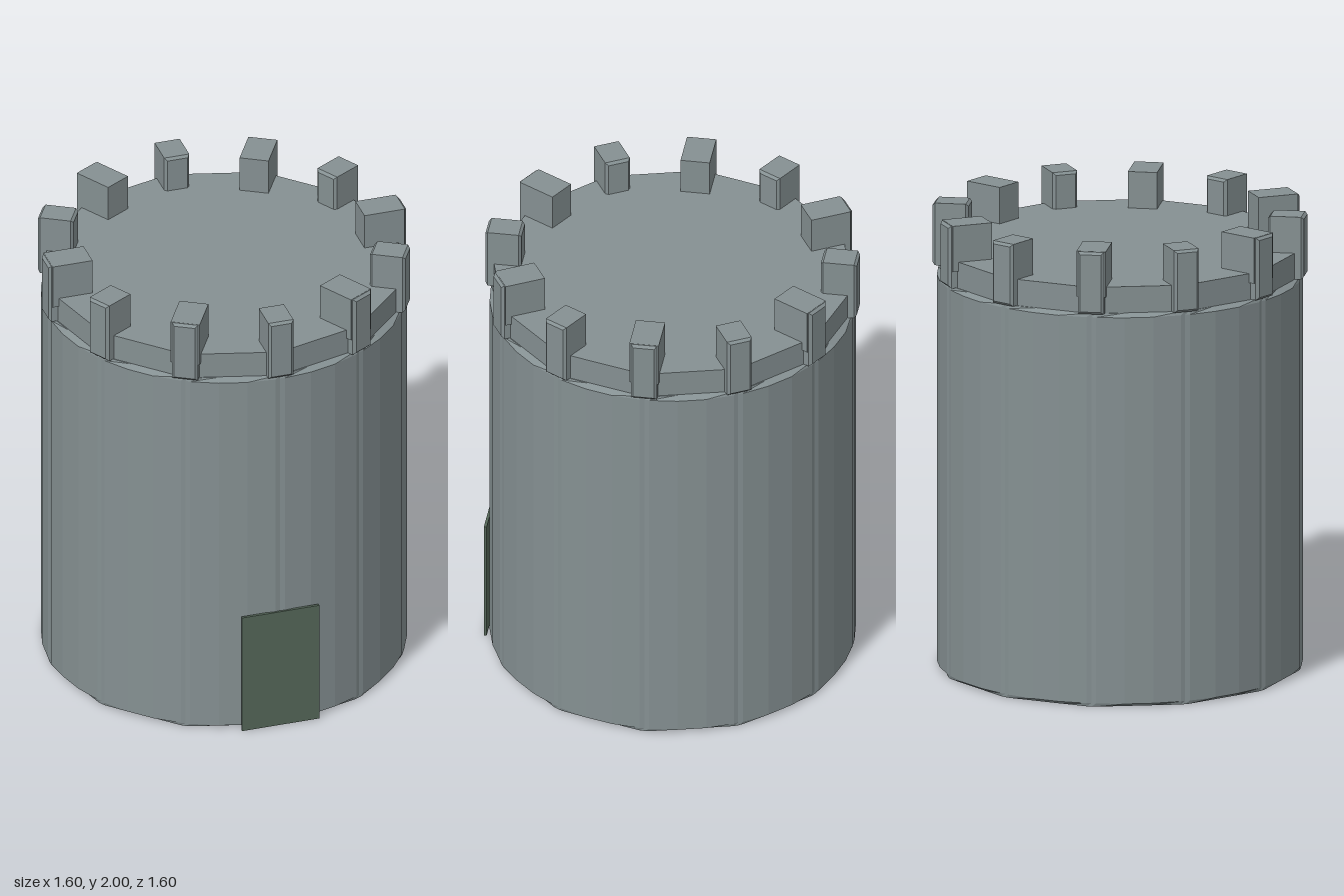
import * as THREE from 'three';

const stone = new THREE.MeshStandardMaterial({ color: 0x859092, flatShading: true });
const green = new THREE.MeshStandardMaterial({ color: 0x546658, flatShading: true });

function add(parent, name, geometry, material = stone) {
  const mesh = new THREE.Mesh(geometry, material);
  mesh.name = name;
  parent.add(mesh);
  return mesh;
}

// Box with every edge chamfered by c, centred on the origin
function chamferBox(w, h, d, c) {
  const x = w / 2 - c, y = h / 2 - c;
  const shape = new THREE.Shape([[-x, -y], [x, -y], [x, y], [-x, y]].map(p => new THREE.Vector2(...p)));
  const geometry = new THREE.ExtrudeGeometry(shape, {
    depth: d - 2 * c, bevelEnabled: true, bevelThickness: c, bevelSize: c, bevelSegments: 1
  });
  return geometry.translate(0, 0, -d / 2 + c);
}

// Round wall of twelve panels (three facets each, with fine seams) whose
// top and bottom rims pull in to a straight-sided twelve-sided outline
function wallGeometry(radius) {
  const rows = [0, 0.015, 1.71, 1.725];
  const offsets = [0, 1.5, 10.5, 19.5, 28.5];
  const geometry = new THREE.CylinderGeometry(1, 1, 1, 60, 3);
  const pos = geometry.attributes.position;
  for (let i = 0; i < pos.count; i++) {
    const row = Math.round((pos.getY(i) + 0.5) * 3);
    const x = pos.getX(i), z = pos.getZ(i);
    if (Math.hypot(x, z) < 0.5) {
      pos.setXYZ(i, 0, rows[row], 0);
      continue;
    }
    const step = (Math.round(Math.atan2(x, z) * 30 / Math.PI) + 60) % 60;
    const offset = offsets[step % 5];
    const angle = THREE.MathUtils.degToRad(Math.floor(step / 5) * 30 + offset);
    const chord = Math.cos(Math.PI / 12) / Math.cos(THREE.MathUtils.degToRad(offset - 15));
    const rim = row === 0 || row === 3;
    const r = (radius - (offset === 0 ? 0.004 : 0)) * (rim ? chord : 1);
    pos.setXYZ(i, r * Math.sin(angle), rows[row], r * Math.cos(angle));
  }
  geometry.computeVertexNormals();
  return geometry;
}

export function createModel() {
  const tower = new THREE.Group();
  tower.name = 'tower';

  add(tower, 'wall', wallGeometry(0.78));

  // Raised twelve-sided deck, its corners under the battlements
  add(tower, 'deck', new THREE.CylinderGeometry(0.776, 0.776, 0.14, 12)).position.y = 1.77;

  // Battlements: chamfered blocks, every second one backed by a plain block
  const blockGeometry = chamferBox(0.112, 0.273, 0.155, 0.011);
  const backingGeometry = new THREE.BoxGeometry(0.126, 0.2, 0.178);
  const battlements = new THREE.Group();
  battlements.name = 'battlements';
  tower.add(battlements);
  for (let i = 0; i < 12; i++) {
    const merlon = new THREE.Group();
    merlon.name = 'merlon';
    merlon.rotation.y = i * Math.PI / 6;
    add(merlon, 'merlonBlock', blockGeometry).position.set(0, 1.8625, 0.7225);
    if (i % 2 === 1) add(merlon, 'merlonBacking', backingGeometry).position.set(0, 1.9, 0.697);
    battlements.add(merlon);
  }

  // Thin door panel on the front
  add(tower, 'door', new THREE.BoxGeometry(0.345, 0.56, 0.012), green).position.set(0, 0.28, 0.781);

  return tower;
}
